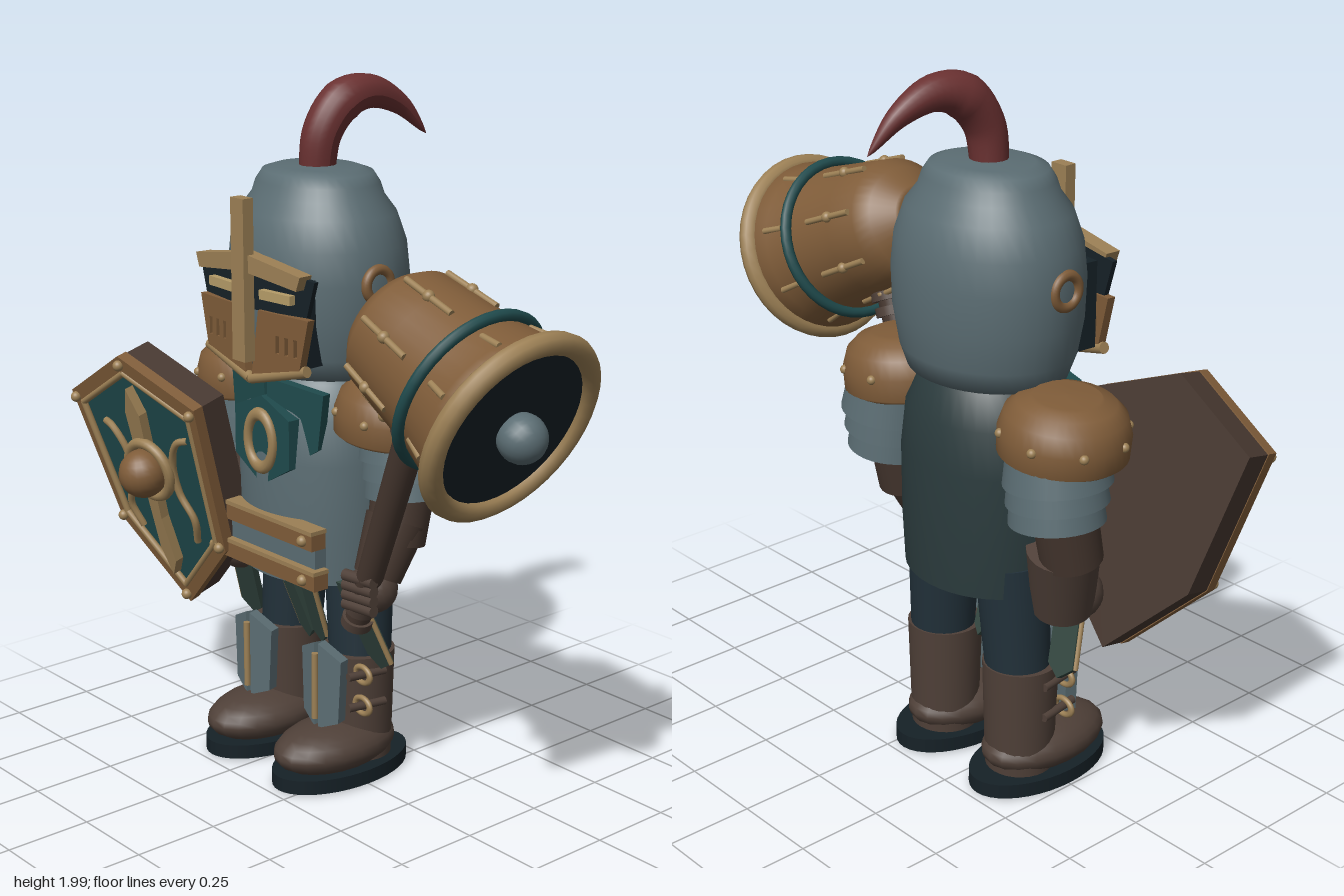
import * as THREE from 'three';

const C = { steel: 0x5b6d73, brown: 0x7f5c39, tan: 0x9c8055, teal: 0x1f4a4c, wood: 0x46372f, boot: 0x4f4038,
  plume: 0x6a3131, black: 0x162127, tunic: 0x2b3b3d, trouser: 0x22313a, cloth: 0x33463f, eye: 0xb59c68 };
const V = (x, y, z) => new THREE.Vector3(x, y, z);

function add(parent, name, geo, color, x = 0, y = 0, z = 0) {
  const m = new THREE.Mesh(geo, new THREE.MeshStandardMaterial({ color }));
  m.name = name;
  m.position.set(x, y, z);
  parent.add(m);
  return m;
}
function group(parent, name, x = 0, y = 0, z = 0) {
  const g = new THREE.Group();
  g.name = name;
  g.position.set(x, y, z);
  parent.add(g);
  return g;
}
// Straight round bar from a to b
function rod(parent, name, a, b, r, color, r2 = r, sides = 14) {
  const d = b.clone().sub(a);
  const m = add(parent, name, new THREE.CylinderGeometry(r2, r, d.length(), sides), color);
  m.position.copy(a).addScaledVector(d, 0.5);
  m.quaternion.setFromUnitVectors(V(0, 1, 0), d.normalize());
  return m;
}
const tube = (pts, r) => new THREE.TubeGeometry(new THREE.CatmullRomCurve3(pts.map(p => V(...p))), 32, r, 8);
const ball = r => new THREE.SphereGeometry(r, 20, 14);
const box = (w, h, d) => new THREE.BoxGeometry(w, h, d);
const ring = (r, t) => new THREE.TorusGeometry(r, t, 10, 40);
const lathe = (pts, from = 0, len = Math.PI * 2) =>
  new THREE.LatheGeometry(pts.map(p => new THREE.Vector2(...p)), 40, from, len);
const outline = (pts, k = 1) => new THREE.Shape(pts.map(([x, y]) => new THREE.Vector2(x * k, y * k)));
const plate = (shape, depth) => new THREE.ExtrudeGeometry(shape, { depth, bevelEnabled: false });

function helmet(root) {
  const g = group(root, 'helmet', -0.205, 0, 0);
  add(g, 'helmetShell', lathe([[0, 1.19], [0.235, 1.19], [0.258, 1.25], [0.276, 1.35], [0.28, 1.46], [0.27, 1.55],
    [0.24, 1.63], [0.203, 1.675], [0.19, 1.71], [0.17, 1.738], [0.13, 1.75], [0, 1.755]]), C.steel, 0, 0, -0.057)
    .scale.z = 0.84;
  for (const s of [-1, 1]) {
    // Half of the visor, turned slightly back at the side
    const h = group(g, 'visorHalf', 0, 0, 0.17);
    h.rotation.y = s * 0.08;
    add(h, 'visorBacking', box(0.19, 0.24, 0.1), C.black, s * 0.1, 1.36, -0.055);
    add(h, 'eyeBand', plate(outline([[0, 1.38], [s * 0.22, 1.39], [s * 0.25, 1.49], [0, 1.52]]), 0.015), C.black);
    add(h, 'eyeSlit', box(0.12, 0.026, 0.03), C.eye, s * 0.115, 1.432, 0.02);
    add(h, 'browBar', plate(outline([[0, 1.49], [s * 0.21, 1.465], [s * 0.225, 1.505], [0, 1.54]]), 0.045), C.tan);
    const cheek = outline([[s * 0.01, 1.19], [s * 0.2, 1.24], [s * 0.235, 1.385], [s * 0.04, 1.385]]);
    for (const x of [0.115, 0.15, 0.185]) cheek.holes.push(
      outline([[s * x - 0.007, 1.275], [s * x + 0.007, 1.275], [s * x + 0.007, 1.325], [s * x - 0.007, 1.325]]));
    add(h, 'cheekPlate', plate(cheek, 0.025), C.brown);
    rod(h, 'chinTrim', V(0, 1.185, 0.015), V(s * 0.215, 1.24, 0.01), 0.016, C.tan);
    add(g, 'earRing', ring(0.042, 0.015), C.brown, s * 0.272, 1.46, -0.04).rotation.y = Math.PI / 2;
  }
  add(g, 'noseBar', box(0.055, 0.45, 0.035), C.tan, 0, 1.465, 0.21);

  // Plume: a bent tube tapered to a point
  const curve = new THREE.CatmullRomCurve3([V(0, 1.72, -0.052), V(0.01, 1.84, -0.065), V(0.02, 1.92, -0.125),
    V(0.03, 1.942, -0.21), V(0.04, 1.9, -0.32), V(0.055, 1.81, -0.41)]);
  const geo = new THREE.TubeGeometry(curve, 30, 1, 16);
  const p = geo.attributes.position;
  for (let i = 0; i < p.count; i++) {
    const t = Math.floor(i / 17) / 30, c = curve.getPointAt(t);
    const v = V(0, 0, 0).fromBufferAttribute(p, i).sub(c);
    v.multiplyScalar(t < 0.4 ? 0.05 + 0.025 * t : 0.06 * Math.pow((1 - t) / 0.6, 0.75) + 0.001).add(c);
    p.setXYZ(i, v.x, v.y, v.z);
  }
  geo.computeVertexNormals();
  add(g, 'plume', geo, C.plume);
}

function torso(root) {
  const g = group(root, 'torso', -0.2, 0, -0.06);
  const prof = [[0.24, 0.6], [0.248, 0.75], [0.25, 0.95], [0.235, 1.08], [0.19, 1.17], [0.13, 1.22]];
  add(g, 'tunic', lathe([[0, 0.6], [0.238, 0.6], ...prof]), C.tunic).scale.z = 0.83;
  const chest = add(g, 'breastplate', lathe(prof.map(([r, y]) => [r + 0.008, y]), -1.4, 2.8), C.steel);
  chest.scale.z = 0.84;
  chest.material.side = THREE.DoubleSide;
  // Collar cloth, badge and oval ring
  for (const s of [-1, 1]) add(g, 'collarCloth', plate(outline([[0, 1.18], [s * 0.2, 1.16], [s * 0.18, 1],
    [s * 0.12, 0.96], [0, 1.08]]), 0.03), C.teal, 0, 0, 0.17).rotation.y = s * 0.2;
  add(g, 'badge', plate(outline([[-0.12, 1.08], [0, 1.13], [0.12, 1.08], [0.12, 0.94], [0, 0.87], [-0.12, 0.94]]), 0.04),
    C.teal, 0, 0, 0.175);
  add(g, 'badgeRing', ring(0.055, 0.014), C.tan, 0, 1, 0.22).scale.y = 1.4;
  // Belts
  for (const [y, w] of [[0.76, 0.46], [0.645, 0.48]]) {
    add(g, 'beltBar', box(w, 0.045, 0.05), C.brown, 0.01, y, 0.21);
    add(g, 'beltEdge', box(w, 0.012, 0.055), C.tan, 0.01, y + 0.028, 0.21);
    for (const s of [-1, 1]) add(g, 'beltStud', ball(0.016), C.tan, s * 0.2, y, 0.236);
  }
  add(g, 'beltPlate', box(0.44, 0.06, 0.04), C.steel, 0.01, 0.705, 0.195);
  // Hanging cloth strips with trimmed edges
  for (const s of [-1, 1]) for (const [x, w, lean] of [[0.05, 0.05, -0.02], [0.245, 0.09, 0.045]]) {
    const strip = group(g, 'clothStrip', s * x, 0.62, 0.1);
    strip.rotation.x = 0.35;
    const pts = [[-w / 2, 0], [w / 2, 0], [s * lean + w / 2, -0.25], [s * lean, -0.28], [s * lean - w / 2, -0.24]];
    add(strip, 'cloth', plate(outline(pts), 0.02), C.cloth);
    const [top, low] = s > 0 ? [1, 2] : [0, 4];
    rod(strip, 'clothTrim', V(...pts[top], 0.012), V(...pts[low], 0.012), 0.008, C.tan);
  }
}

function leg(root, s) {
  const g = group(root, 'leg', -0.205 + s * 0.157, 0, 0);
  rod(g, 'trouser', V(0, 0.33, -0.078), V(-s * 0.02, 0.68, -0.09), 0.09, C.trouser, 0.102, 28);
  add(g, 'sole', new THREE.CylinderGeometry(1, 1, 0.042, 40), C.black, 0, 0.026, 0).scale.set(0.135, 1, 0.23);
  add(g, 'heelDisc', new THREE.CylinderGeometry(0.05, 0.05, 0.006, 24), C.boot, 0, 0.003, 0.04);
  add(g, 'bootFoot', ball(1), C.boot, 0, 0.095, 0.02).scale.set(0.127, 0.075, 0.205);
  rod(g, 'bootShaft', V(0, 0.04, -0.07), V(0, 0.37, -0.07), 0.096, C.boot, 0.106, 28);
  // Shin guard: two angled plates and a central ridge
  for (const k of [-1, 1]) add(g, 'shinPlate', plate(outline([[0, 0.16], [k * 0.07, 0.19], [k * 0.08, 0.38],
    [0, 0.42]]), 0.035), C.steel, 0, 0, 0.055).rotation.y = k * 0.25;
  rod(g, 'shinRidge', V(0, 0.19, 0.093), V(0, 0.39, 0.093), 0.01, C.tan);
  // Side straps and lace loops
  for (const y of [0.235, 0.33]) {
    add(g, 'laceLoop', ring(0.024, 0.008), C.tan, s * 0.1, y, 0).scale.x = 1.3;
    rod(g, 'bootStrap', V(s * 0.105, y - 0.005, -0.08), V(s * 0.09, y, 0.045), 0.012, C.boot);
  }
}

function arm(root, s) {
  const g = group(root, 'arm', -0.21 + s * 0.31, 0, -0.08);
  const shoulder = group(g, 'shoulder', 0, 1.06, 0);
  shoulder.rotation.z = -s * 0.08;
  add(shoulder, 'pauldron', lathe([[0, 0], [0.16, -0.02], [0.173, -0.01], [0.175, 0.05], [0.16, 0.1], [0.13, 0.13],
    [0.095, 0.14], [0.088, 0.147], [0, 0.15]]), C.brown);
  for (let i = 0; i < 8; i++) {
    const a = i * Math.PI / 4 + 0.3;
    add(shoulder, 'pauldronStud', ball(0.013), C.tan, Math.sin(a) * 0.172, 0.05, Math.cos(a) * 0.172);
  }
  // Overlapping arm bands
  for (let i = 0; i < 3; i++) add(g, 'armBand', new THREE.CylinderGeometry(0.132 - i * 0.006, 0.145 - i * 0.008, 0.08, 32),
    C.steel, s * 0.015, 1.02 - i * 0.055, -0.035).rotation.z = s * 0.1;
  // Sleeve and cuff; the right forearm hangs straight, the left one reaches forward to grip
  rod(g, 'sleeve', V(s * 0.02, 0.93, -0.02), V(s * 0.02, 0.74, 0.02), 0.088, C.wood, 0.085, 24);
  if (s < 0) {
    rod(g, 'cuff', V(0.05, 0.56, 0.06), V(0.01, 0.76, 0.02), 0.085, C.boot, 0.1, 24);
    add(g, 'hand', ball(0.075), C.boot, 0.04, 0.59, 0.1);
    return;
  }
  rod(g, 'cuff', V(0.02, 0.65, 0.085), V(0.02, 0.8, 0.015), 0.068, C.wood, 0.088, 24);
  add(g, 'hand', ball(0.075), C.boot, 0.02, 0.62, 0.1).scale.set(0.95, 0.95, 0.9);
  for (let i = 0; i < 4; i++)
    rod(g, 'finger', V(-0.03, 0.575 + i * 0.028, 0.16), V(0.085, 0.58 + i * 0.028, 0.155), 0.017, C.boot);
}

function shield(root) {
  const g = group(root, 'shield', -0.605, 0.815, 0.225);
  g.rotation.set(0.23, 0.1, 0);
  const pts = [[-0.02, 0.39], [0.265, 0.27], [0.265, -0.18], [0.05, -0.4], [-0.18, -0.165], [-0.275, 0.24]];
  add(g, 'shieldBoard', plate(outline(pts), 0.09), C.wood, 0, 0, -0.09);
  add(g, 'shieldPanel', plate(outline(pts, 0.9), 0.025), C.teal, 0, 0, -0.01);
  const frame = outline(pts, 1.01);
  frame.holes.push(outline(pts, 0.87));
  add(g, 'shieldFrame', plate(frame, 0.035), C.brown, 0, 0, -0.005);
  pts.forEach(([x, y], i) => {
    const [u, v] = pts[(i + 1) % 6];
    rod(g, 'frameEdge', V(x * 0.87, y * 0.87, 0.025), V(u * 0.87, v * 0.87, 0.025), 0.01, C.tan);
    add(g, 'frameStud', ball(0.016), C.tan, x * 0.94, y * 0.94, 0.035);
  });
  // Blade ornament, boss and curled ribs
  add(g, 'bladeOrnament', plate(outline([[0, 0.3], [0.035, 0.22], [0.025, -0.12], [0.045, -0.26], [0.02, -0.31],
    [-0.01, -0.22], [-0.025, 0.22]]), 0.035), C.tan, 0, 0, 0.01);
  add(g, 'boss', ball(0.072), C.brown, 0.025, 0.045, 0.07);
  add(g, 'bossRing', ring(0.085, 0.016), C.tan, 0.025, 0.045, 0.045);
  for (const s of [-1, 1]) add(g, 'curledRib', tube([[s * 0.18, 0.16, 0.02], [s * 0.14, 0.15, 0.03],
    [s * 0.1, 0.08, 0.03], [s * 0.1, -0.02, 0.03], [s * 0.14, -0.1, 0.03], [s * 0.12, -0.18, 0.02]], 0.011), C.tan, 0.02);
}

function bellHammer(root) {
  const g = group(root, 'bellHammer');
  const a = V(0.07, 0.5, 0.04), b = V(0.45, 1.33, 0.12);
  rod(g, 'handle', a, b, 0.036, C.wood, 0.046, 20);
  for (const [t, r] of [[0.02, 0.045], [0.08, 0.045], [0.78, 0.058], [0.83, 0.062], [0.88, 0.058]])
    rod(g, 'handleCollar', a.clone().lerp(b, t - 0.015), a.clone().lerp(b, t + 0.015), r, C.boot, r, 20);
  // Bell head, built along its own axis
  const h = group(g, 'bellHead', 0.275, 1.448, 0.13);
  h.rotation.z = -1.98;
  add(h, 'bell', lathe([[0, 0], [0.08, 0], [0.09, 0.006], [0.15, 0.05], [0.182, 0.09], [0.195, 0.2], [0.212, 0.35],
    [0.235, 0.455], [0.265, 0.52], [0.23, 0.52], [0, 0.505]]), C.brown);
  add(h, 'bellMouth', new THREE.CylinderGeometry(0.235, 0.235, 0.01, 40), C.black, 0, 0.52, 0);
  add(h, 'bellRim', ring(0.25, 0.03), C.tan, 0, 0.518, 0).rotation.x = Math.PI / 2;
  add(h, 'bellBand', ring(0.226, 0.016), C.teal, 0, 0.36, 0).rotation.x = Math.PI / 2;
  add(h, 'clapper', ball(0.065), C.steel, 0, 0.56, 0);
  for (let i = 0; i < 8; i++) {
    const rib = group(h, 'bellRib');
    rib.rotation.y = i * Math.PI / 4 + 0.35;
    rod(rib, 'longRib', V(0.188, 0.1, 0), V(0.205, 0.28, 0), 0.009, C.tan);
    rod(rib, 'shortRib', V(0.218, 0.395, 0), V(0.236, 0.46, 0), 0.009, C.tan);
    add(rib, 'ribStud', ball(0.016), C.tan, 0.197, 0.19, 0);
  }
}

export function createModel() {
  const root = new THREE.Group();
  root.name = 'knight';
  helmet(root);
  torso(root);
  for (const s of [-1, 1]) {
    leg(root, s);
    arm(root, s);
  }
  shield(root);
  bellHammer(root);
  return root;
}
